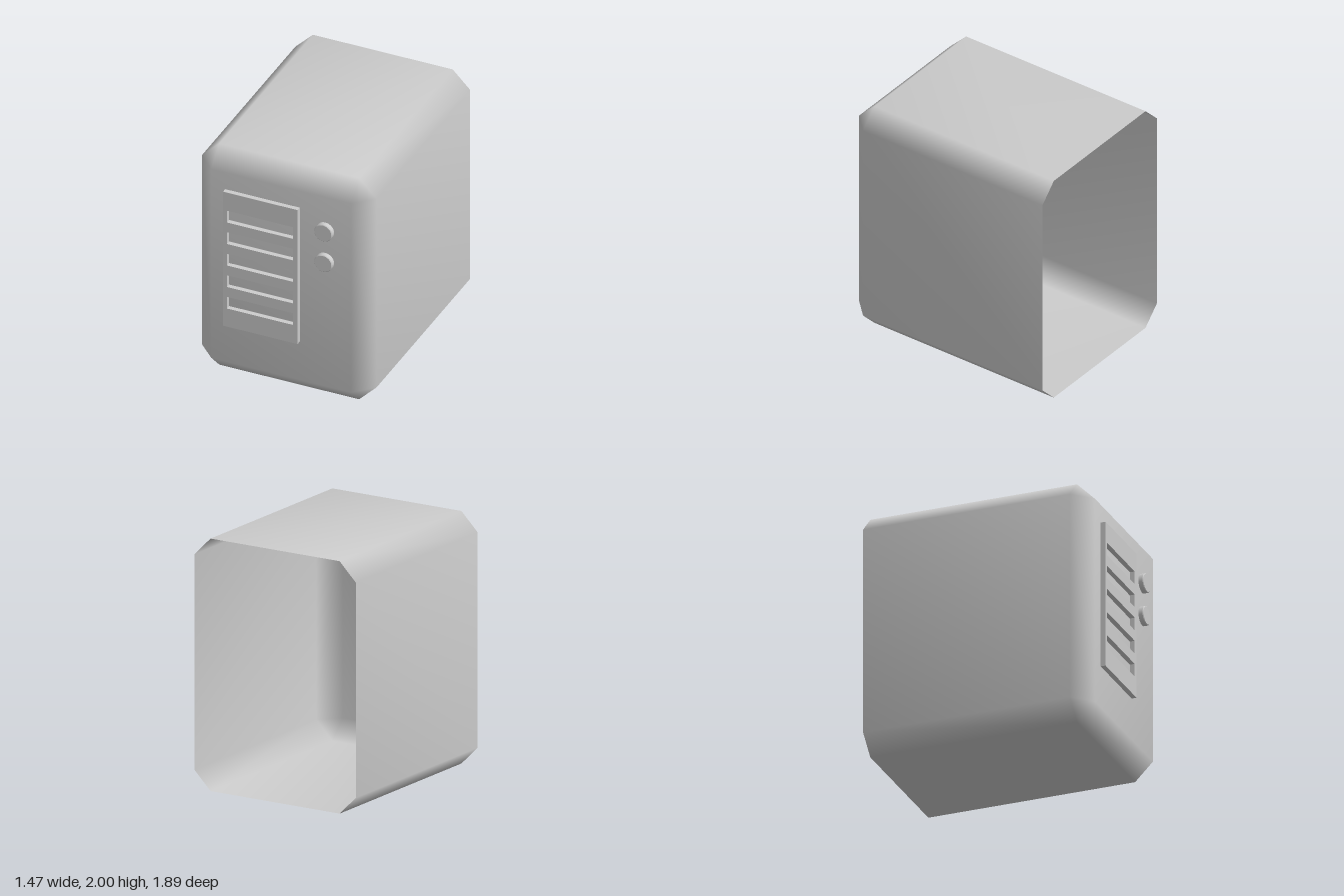
import * as THREE from 'three';

const material = new THREE.MeshStandardMaterial({ color: 0xcccccc, side: THREE.DoubleSide });
const FRONT = 0.905, BACK = -0.945, FACE = 0.945;
const BEVEL = 0.147, HALF_W = 0.735, HALF_H = 1;

// Hollow casing: octagonal tube, bevelled to a rectangular front, open at the back
function casingGeometry() {
  const ix = HALF_W - BEVEL, iy = HALF_H - BEVEL;
  const corners = [[1, 1], [-1, 1], [-1, -1], [1, -1]];
  const octagon = corners.flatMap(([sx, sy]) => {
    const pair = [[sx * HALF_W, sy * iy], [sx * ix, sy * HALF_H]];
    return sx * sy > 0 ? pair : pair.reverse();
  });
  const points = [];
  for (const z of [BACK, FRONT - BEVEL]) {
    for (const [x, y] of octagon) points.push(x, y + HALF_H, z);
  }
  for (const [sx, sy] of corners) points.push(sx * ix, sy * iy + HALF_H, FRONT);

  const index = [];
  for (let j = 0; j < 8; j++) {
    const k = (j + 1) % 8;
    const c = 16 + (j >> 1), d = 16 + (k >> 1);
    index.push(j, k, 8 + k, j, 8 + k, 8 + j); // side wall
    index.push(8 + j, 8 + k, d); // bevel, or corner triangle
    if (c !== d) index.push(8 + j, d, c);
  }
  index.push(16, 17, 18, 16, 18, 19); // front face

  const geometry = new THREE.BufferGeometry();
  geometry.setAttribute('position', new THREE.Float32BufferAttribute(points, 3));
  geometry.setIndex(index);
  geometry.computeVertexNormals();
  return geometry;
}

// Traces a rectangle on a shape or path
function rectangle(path, x0, y0, x1, y1) {
  path.moveTo(x0, y0);
  path.lineTo(x1, y0);
  path.lineTo(x1, y1);
  path.lineTo(x0, y1);
  path.closePath();
  return path;
}

// Raised plate with five horizontal slots
function ventGeometry() {
  const plate = rectangle(new THREE.Shape(), -0.47, 0.492, 0.157, 1.703);
  for (let i = 0; i < 5; i++) {
    const y = 0.708 + i * 0.1945;
    plate.holes.push(rectangle(new THREE.Path(), -0.438, y - 0.053, 0.12, y + 0.053));
  }
  return new THREE.ExtrudeGeometry(plate, { depth: FACE - FRONT, bevelEnabled: false });
}

// Round button with a fine bevel; doubled points keep the edges crisp
function buttonGeometry() {
  const h = FACE - FRONT;
  const profile = [[0.076, 0], [0.076, h - 0.006], [0.076, h - 0.006], [0.07, h], [0.07, h], [0, h]];
  return new THREE.LatheGeometry(profile.map(([r, y]) => new THREE.Vector2(r, y)), 32);
}

export function createModel() {
  const model = new THREE.Group();
  model.name = 'ventedCase';
  const add = (name, geometry) => {
    const mesh = new THREE.Mesh(geometry, material);
    mesh.name = name;
    model.add(mesh);
    return mesh;
  };

  add('casing', casingGeometry());
  add('ventPanel', ventGeometry()).position.z = FRONT;

  const button = buttonGeometry();
  [['upperButton', 1.55], ['lowerButton', 1.275]].forEach(([name, y]) => {
    const mesh = add(name, button);
    mesh.rotation.x = Math.PI / 2;
    mesh.position.set(0.37, y, FRONT);
  });
  return model;
}
